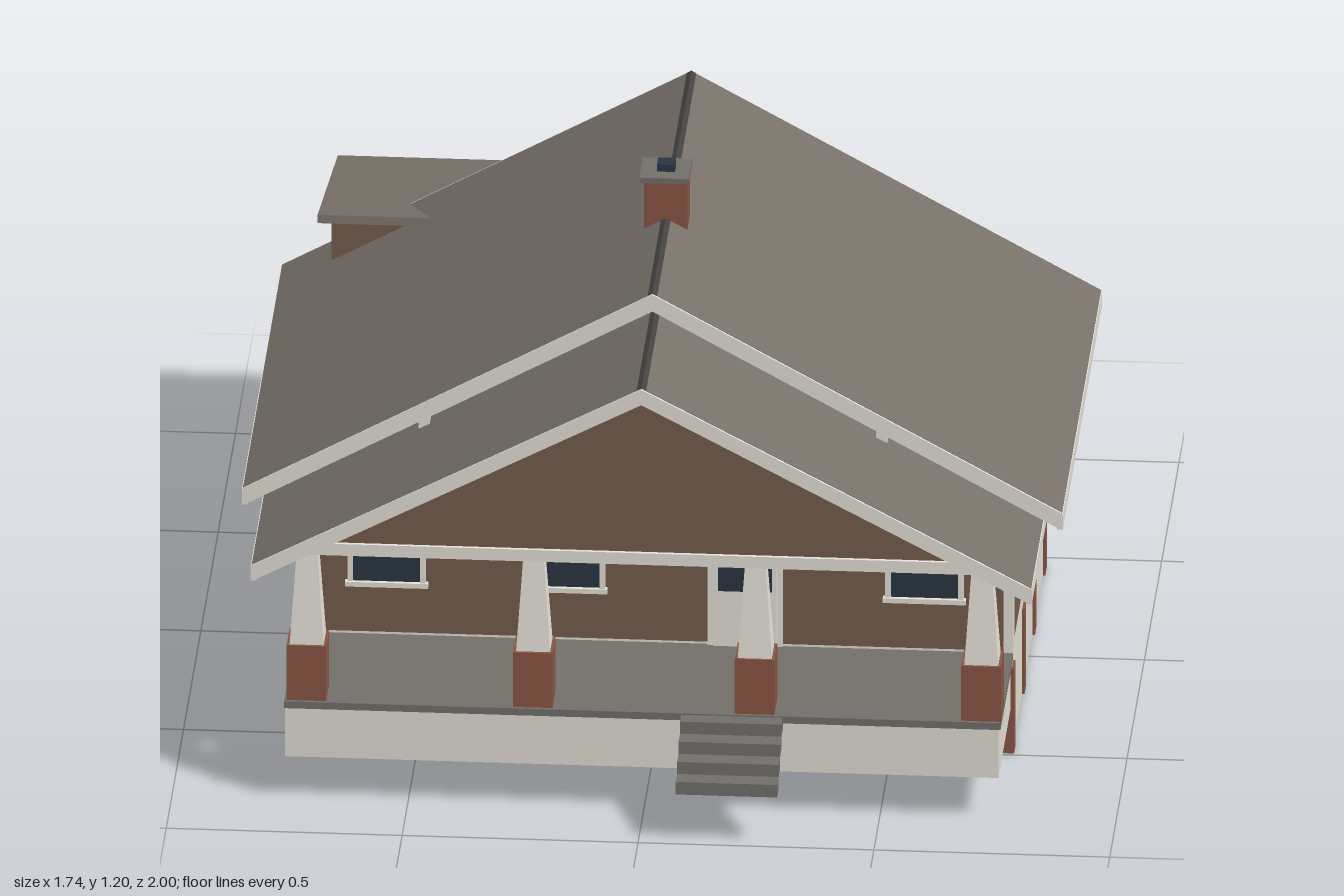
import * as THREE from 'three';

const mat = (name, color) => {
  const m = new THREE.MeshStandardMaterial({ color });
  m.name = name;
  return m;
};

export function createModel() {
  const house = new THREE.Group();
  house.name = 'house';
  const roofGrey = mat('roof grey', 0x78716a);
  const wallBrown = mat('siding brown', 0x775e4d);
  const brick = mat('brick red', 0x8a5644);
  const plaster = mat('foundation plaster', 0xe5e1d8);
  const trim = mat('trim cream', 0xeae6dd);
  const glass = mat('window glass', 0x2b3543);
  const deckGrey = mat('deck grey', 0x74706b);
  const dark = mat('ridge dark', 0x45423f);

  const add = (geo, material, name, parent = house) => {
    const m = new THREE.Mesh(geo, material);
    m.name = name;
    parent.add(m);
    return m;
  };
  // Box given by its min and max on each axis
  const box = (name, material, x0, x1, y0, y1, z0, z1, parent) => {
    const g = new THREE.BoxGeometry(x1 - x0, y1 - y0, z1 - z0);
    g.translate((x0 + x1) / 2, (y0 + y1) / 2, (z0 + z1) / 2);
    return add(g, material, name, parent);
  };
  const extrude = (pts, depth) => new THREE.ExtrudeGeometry(
    new THREE.Shape(pts.map(p => new THREE.Vector2(p[0], p[1]))), { depth, bevelEnabled: false });
  // Outline in x,y swept along z
  const alongZ = (name, material, pts, z0, z1) =>
    add(extrude(pts, z1 - z0).translate(0, 0, z0), material, name);
  // Outline in z,y swept along x
  const alongX = (name, material, pts, x0, x1) =>
    add(extrude(pts, x1 - x0).rotateY(-Math.PI / 2).translate(x1, 0, 0), material, name);

  // Foundations
  box('mainFoundation', plaster, -0.755, 0.755, 0.001, 0.236, -0.45, 0.487);
  box('rearFoundation', plaster, -0.755, -0.1, 0.001, 0.236, -0.947, -0.45);
  box('porchSkirt', plaster, -0.76, 0.752, 0.1, 0.217, 0.487, 0.835);

  // Brick piers along the foundations
  const pier = (x, z) => box('brickPier', brick, x - 0.022, x + 0.022, 0, 0.197, z - 0.022, z + 0.022);
  for (const x of [-0.738, -0.369, 0, 0.369, 0.738]) {
    pier(x, 0.47);
    if (x >= 0) pier(x, -0.432);
  }
  for (const z of [-0.432, -0.13, 0.17]) { pier(0.738, z); pier(-0.738, z); }
  for (const x of [-0.738, -0.43, -0.117]) pier(x, -0.93);
  for (const x of [-0.738, -0.117]) { pier(x, -0.70); pier(x, -0.477); }

  // Walls
  alongZ('mainWalls', wallBrown,
    [[-0.755, 0.236], [0.755, 0.236], [0.755, 0.646], [0, 1.064], [-0.755, 0.646]], -0.45, 0.487);
  alongX('rearWalls', wallBrown,
    [[-0.947, 0.236], [-0.44, 0.236], [-0.44, 0.762], [-0.947, 0.65]], -0.755, -0.1);

  // Corner boards
  const corner = (x, z, sx, sz, top) => box('cornerBoard', trim,
    Math.min(x + sx * 0.004, x - sx * 0.018), Math.max(x + sx * 0.004, x - sx * 0.018), 0.236, top,
    Math.min(z + sz * 0.004, z - sz * 0.018), Math.max(z + sz * 0.004, z - sz * 0.018));
  for (const s of [-1, 1]) corner(s * 0.755, 0.487, s, 1, 0.6);
  corner(0.755, -0.45, 1, -1, 0.6);
  corner(-0.755, -0.947, -1, -1, 0.64);
  corner(-0.1, -0.947, 1, -1, 0.64);
  box('innerCornerBoard', trim, -0.104, -0.085, 0.236, 0.73, -0.468, -0.45);
  box('innerCornerBoard', trim, -0.759, -0.74, 0.236, 0.64, -0.458, -0.44);

  // Gable roofs: sheet, rake boards just past its ends, eave fascias, dark ridge
  const gableRoof = (label, hw, top, slope, rake, z0, z1) => {
    const chevron = (w, y, t) => [
      [0, y], [-w, y - slope * w], [-w, y - slope * w - t],
      [0, y - t], [w, y - slope * w - t], [w, y - slope * w]];
    alongZ(label + 'Roof', roofGrey, chevron(hw, top, 0.02), z0 + 0.005, z1 - 0.005);
    alongZ(label + 'FrontRake', trim, chevron(hw - 0.001, top - 0.001, rake), z1 - 0.018, z1);
    alongZ(label + 'RearRake', trim, chevron(hw - 0.001, top - 0.001, rake), z0, z0 + 0.018);
    const y = top - slope * hw;
    for (const s of [-1, 1]) {
      const x = s * (hw - 0.004);
      box(label + 'Fascia', trim, x - 0.006, x + 0.006, y - rake, y - 0.003, z0 + 0.001, z1 - 0.001);
    }
    alongZ(label + 'Ridge', dark, chevron(0.01, top + 0.001, 0.006), z0 + 0.005, z1 - 0.005);
  };
  gableRoof('main', 0.868, 1.086, 0.553, 0.039, -0.551, 0.586);
  gableRoof('porch', 0.826, 1.012, 0.529, 0.036, 0.39, 0.906);

  // Shed roof over the rear room
  alongX('rearRoof', roofGrey,
    [[-1, 0.638], [-0.41, 0.768], [-0.413, 0.786], [-1, 0.655]], -0.783, -0.08);
  for (const x of [-0.74, -0.115]) box('rafterEnd', trim, x - 0.012, x + 0.012, 0.615, 0.645, -0.965, -0.945);

  // Knee brackets under the main rakes
  for (const x of [-0.485, 0.485]) {
    box('frontBracket', trim, x - 0.012, x + 0.012, 0.74, 0.785, 0.487, 0.57);
    box('rearBracket', trim, x - 0.012, x + 0.012, 0.735, 0.785, -0.535, -0.45);
  }

  // Porch gable, beams, deck, steps
  alongZ('porchGable', wallBrown, [[-0.74, 0.585], [0.74, 0.585], [0.74, 0.598], [0, 0.99], [-0.74, 0.598]], 0.78, 0.815);
  box('porchBeam', trim, -0.74, 0.74, 0.565, 0.592, 0.773, 0.823);
  for (const x of [-0.715, 0.715]) box('sideBeam', trim, x - 0.022, x + 0.022, 0.565, 0.59, 0.487, 0.78);
  box('porchDeck', deckGrey, -0.762, 0.757, 0.215, 0.231, 0.487, 0.842);
  for (let i = 0; i < 4; i++) {
    const z = 0.835 + i * 0.041, y = 0.228 - i * 0.028;
    box('step', deckGrey, 0.08, 0.295, y - 0.029, y, z, z + 0.042);
  }

  // Tapered porch posts on brick bases
  for (const x of [-0.715, -0.235, 0.235, 0.715]) {
    box('postBase', brick, x - 0.042, x + 0.042, 0.231, 0.358, 0.75, 0.835);
    const post = new THREE.CylinderGeometry(0.022 * Math.SQRT2, 0.036 * Math.SQRT2, 0.21, 4)
      .rotateY(Math.PI / 4).toNonIndexed();
    post.computeVertexNormals();
    add(post.translate(x, 0.463, 0.793), trim, 'porchPost');
  }

  // Sash window with a six-light upper sash
  const windowAt = (x, z, turn) => {
    const w = new THREE.Group();
    w.name = 'window';
    box('pane', glass, -0.075, 0.075, -0.105, 0.105, 0, 0.005, w);
    for (const s of [-1, 1]) {
      box('sideCasing', trim, s * 0.077 - 0.006, s * 0.077 + 0.006, -0.11, 0.11, 0, 0.01, w);
      box('muntin', trim, s * 0.024 - 0.0025, s * 0.024 + 0.0025, 0, 0.105, 0, 0.008, w);
    }
    box('headCasing', trim, -0.083, 0.083, 0.102, 0.113, 0, 0.01, w);
    box('sill', trim, -0.088, 0.088, -0.114, -0.103, 0, 0.014, w);
    box('meetingRail', trim, -0.075, 0.075, -0.006, 0.003, 0, 0.009, w);
    box('crossMuntin', trim, -0.075, 0.075, 0.054, 0.059, 0, 0.008, w);
    w.position.set(x, 0.459, z);
    w.rotation.y = turn;
    house.add(w);
  };
  const Q = Math.PI / 2;
  for (const x of [-0.57, -0.19, 0.57]) windowAt(x, 0.487, 0);
  for (const z of [0.255, -0.215]) { windowAt(0.755, z, Q); windowAt(-0.755, z, -Q); }
  for (const x of [0.2, 0.58]) windowAt(x, -0.45, 2 * Q);
  for (const x of [-0.265, -0.595]) windowAt(x, -0.947, 2 * Q);
  windowAt(-0.1, -0.7, Q);
  windowAt(-0.755, -0.7, -Q);

  // Front door with glazed upper panel
  box('doorCasing', trim, 0.11, 0.27, 0.231, 0.548, 0.48, 0.492);
  box('doorLeaf', trim, 0.123, 0.257, 0.231, 0.535, 0.48, 0.496);
  box('doorGlass', glass, 0.133, 0.247, 0.36, 0.525, 0.49, 0.499);

  // Chimney
  box('chimneyStack', brick, -0.046, 0.046, 1.02, 1.172, 0.12, 0.2);
  box('chimneyCap', deckGrey, -0.055, 0.05, 1.172, 1.184, 0.108, 0.212);
  box('chimneyFlue', glass, -0.02, 0.018, 1.184, 1.2, 0.141, 0.178);

  return house;
}
